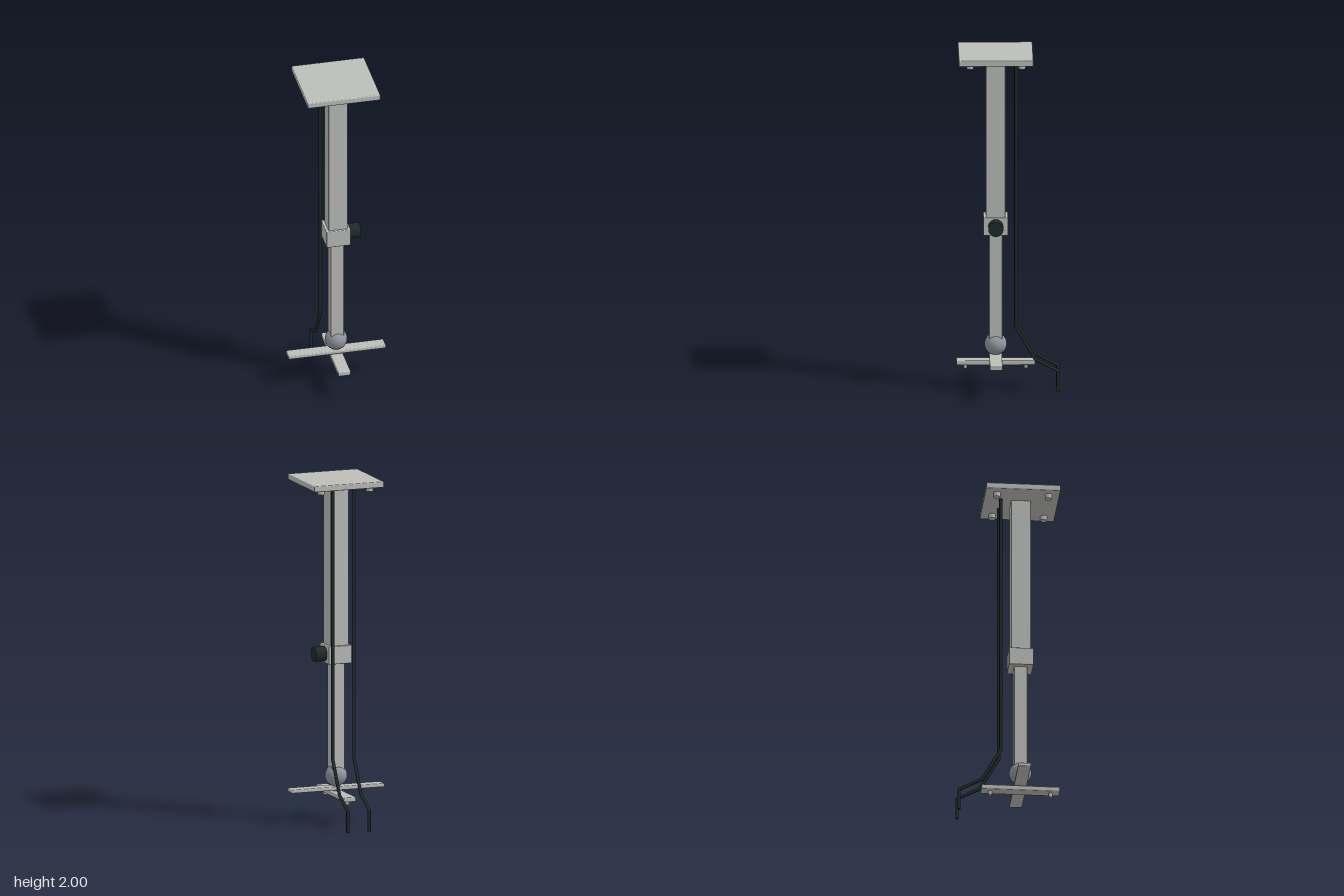
import * as THREE from 'three';
import { RoundedBoxGeometry } from 'three/addons/geometries/RoundedBoxGeometry.js';

export function createModel() {
  const mat = (name, color) => Object.assign(new THREE.MeshStandardMaterial({ color }), { name });
  const metal = mat('light grey metal', 0xbcbeba);
  const steel = mat('blue grey steel', 0x8f969e);
  const black = mat('black rubber', 0x1f2a2a);

  const model = new THREE.Group();
  model.name = 'ceilingMount';
  const axisZ = 0.07; // the column stands slightly forward of the cables

  const add = (name, geometry, material, x, y, z, parent = model) => {
    const mesh = new THREE.Mesh(geometry, material);
    mesh.name = name;
    mesh.position.set(x, y, z);
    parent.add(mesh);
    return mesh;
  };
  const box = (name, w, y0, y1, d, bevel) =>
    add(name, new RoundedBoxGeometry(w, y1 - y0, d, 2, bevel), metal, 0, (y0 + y1) / 2, axisZ);

  // Ceiling plate with four corner bolts
  box('ceilingPlate', 0.426, 1.965, 2, 0.426, 0.006);
  for (const x of [-0.148, 0.148]) {
    for (const z of [-0.148, 0.148]) {
      add('plateBolt', new THREE.CylinderGeometry(0.02, 0.02, 0.03, 24), metal, x, 1.953, axisZ + z);
    }
  }

  // Telescopic column and clamp collar
  box('outerColumn', 0.112, 1.0, 1.97, 0.112, 0.004);
  box('innerColumn', 0.076, 0.27, 1.0, 0.076, 0.003);
  box('clampCollar', 0.142, 0.927, 1.032, 0.142, 0.005);

  // Locking knob on the model's left side
  const knob = add('lockingKnob', new THREE.CylinderGeometry(0.043, 0.043, 0.074, 32), black, 0.1, 0.981, axisZ);
  knob.rotation.z = Math.PI / 2;

  // Ball joint and crossed arms
  add('ballJoint', new THREE.SphereGeometry(0.064, 32, 24), steel, 0, 0.27, axisZ);
  box('crossArm', 0.57, 0.186, 0.208, 0.073, 0.006);
  box('lengthArm', 0.073, 0.151, 0.179, 0.45, 0.006);
  add('armSpacer', new THREE.CylinderGeometry(0.02, 0.02, 0.02, 24), metal, 0, 0.182, axisZ);
  for (const z of [-0.173, 0.173]) {
    add('armBolt', new THREE.CylinderGeometry(0.011, 0.011, 0.028, 20), metal, 0, 0.141, axisZ + z);
  }

  // Two cables running down behind the column and bending backwards
  const r = 0.0095;
  const path = [[1.968, -0.047], [0.385, -0.047], [0.195, -0.155], [0.125, -0.287], [0, -0.287]]
    .map(([y, z]) => new THREE.Vector3(0, y, z));
  const up = new THREE.Vector3(0, 1, 0);
  for (const x of [-0.065, 0.065]) {
    const cable = new THREE.Group();
    cable.name = x > 0 ? 'leftCable' : 'rightCable';
    cable.position.x = x;
    model.add(cable);
    for (let i = 0; i < path.length - 1; i++) {
      const dir = path[i + 1].clone().sub(path[i]);
      const mid = path[i].clone().add(path[i + 1]).multiplyScalar(0.5);
      const length = dir.length();
      const part = add('cableSegment', new THREE.CylinderGeometry(r, r, length, 16), black, 0, mid.y, mid.z, cable);
      part.quaternion.setFromUnitVectors(up, dir.negate().normalize());
      if (i > 0) add('cableBend', new THREE.SphereGeometry(r, 16, 12), black, 0, path[i].y, path[i].z, cable);
    }
  }
  return model;
}
